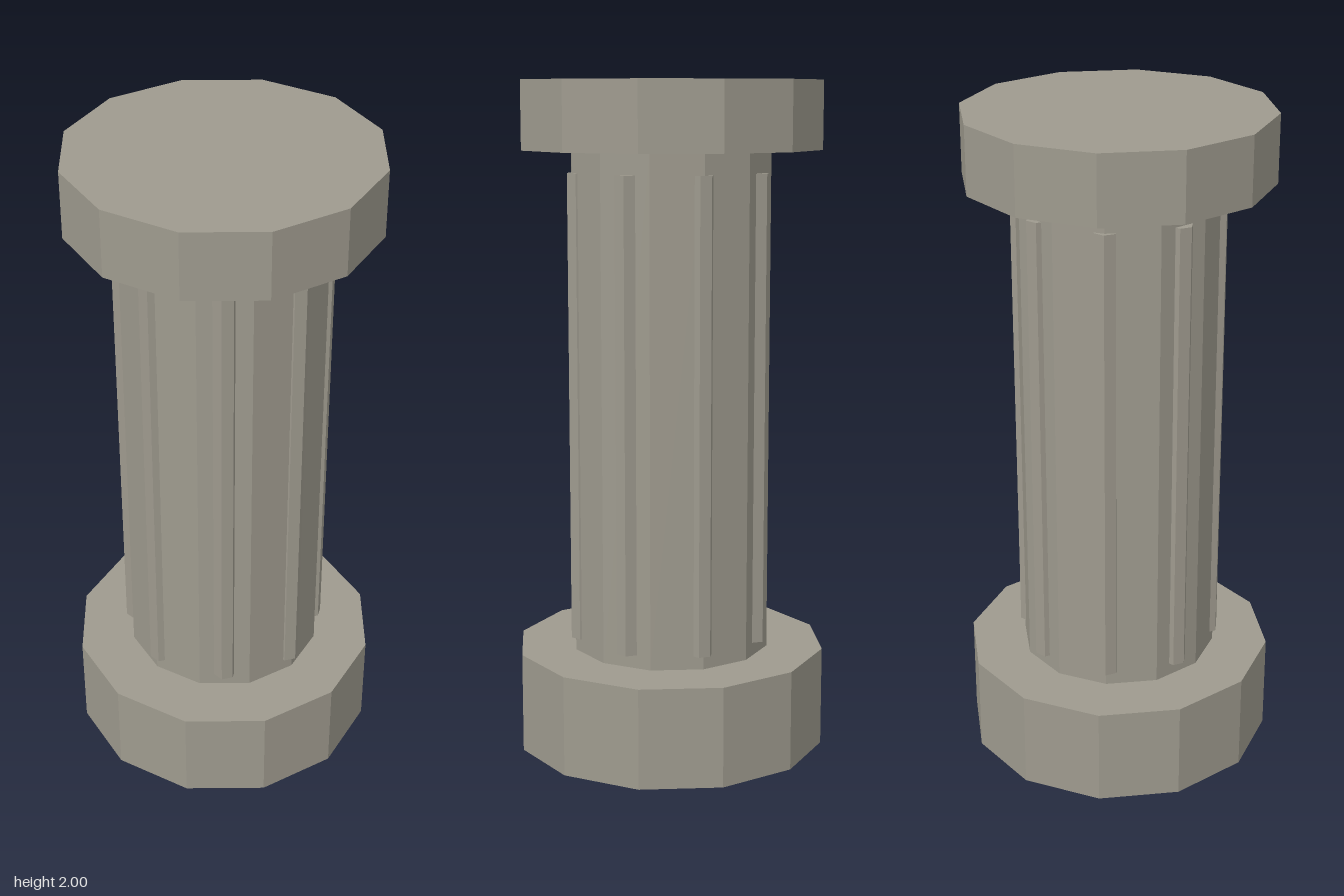
import * as THREE from 'three';

export function createModel() {
  const group = new THREE.Group();
  group.name = 'column';

  const stone = new THREE.MeshStandardMaterial({ color: 0x9e9a8e, flatShading: true });
  stone.name = 'stone';

  // Upright faceted cylinder standing between two heights
  function drum(name, radius, bottom, top, sides, x = 0, z = 0) {
    const geometry = new THREE.CylinderGeometry(radius, radius, top - bottom, sides);
    const mesh = new THREE.Mesh(geometry, stone);
    mesh.name = name;
    mesh.position.set(x, (bottom + top) / 2, z);
    group.add(mesh);
  }

  drum('base', 0.47, 0, 0.3, 12);
  drum('shaft', 0.3, 0.3, 1.8, 12);
  drum('capital', 0.45, 1.8, 2, 12);

  // Eight hexagonal ribs half sunk into the shaft, all facing the same way
  for (let i = 0; i < 8; i++) {
    const a = (i / 8) * Math.PI * 2;
    drum(`rib${i + 1}`, 0.035, 0.34, 1.735, 6, Math.cos(a) * 0.28, Math.sin(a) * 0.28);
  }

  return group;
}
